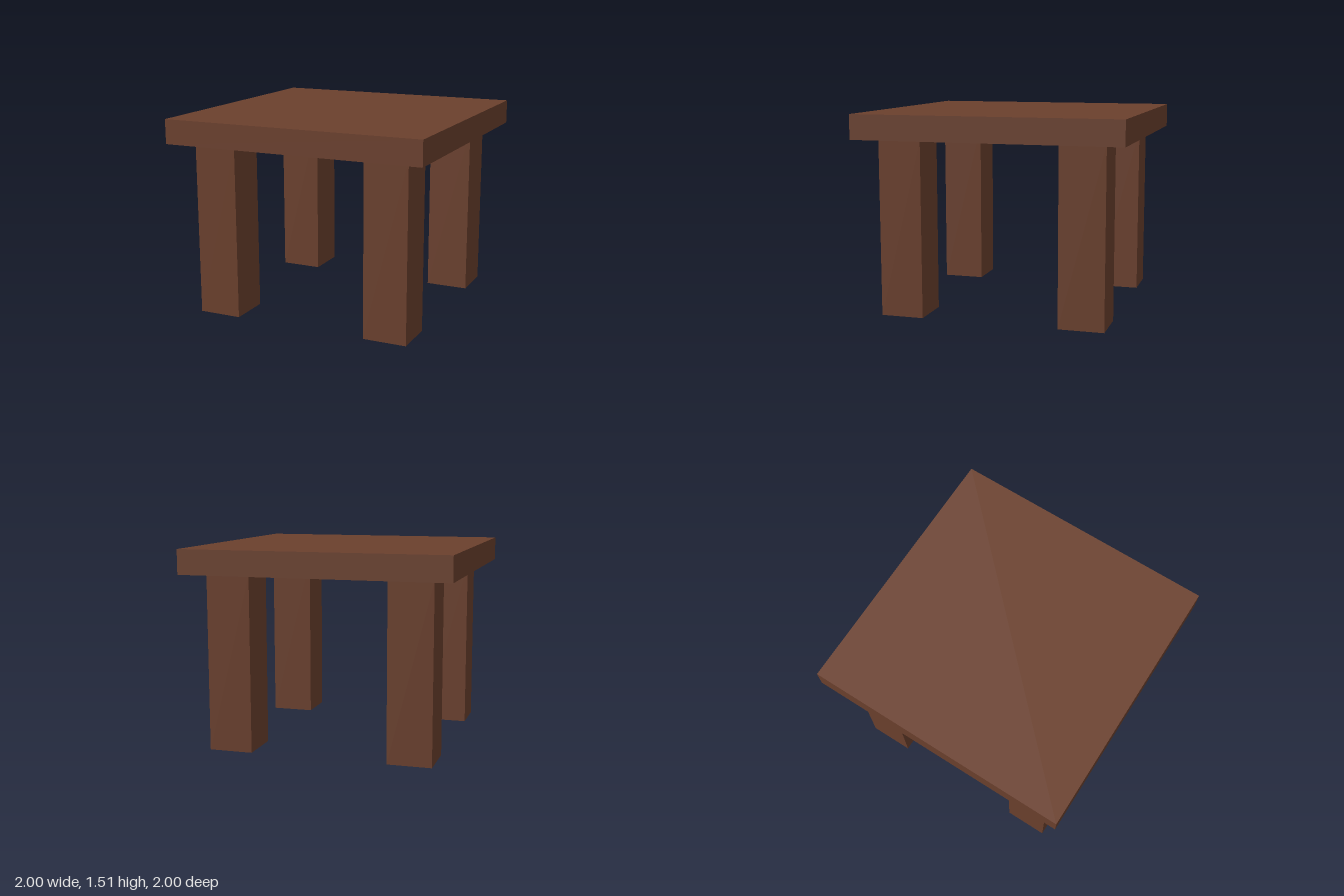
import * as THREE from 'three';

export function createModel() {
  const group = new THREE.Group();
  const wood = new THREE.MeshStandardMaterial({ color: 0x6b402d, flatShading: true });
  const height = 1.51, legHeight = 1.325;

  // Box given by its lower and upper corners
  const addBox = (name, [x0, y0, z0], [x1, y1, z1]) => {
    const mesh = new THREE.Mesh(new THREE.BoxGeometry(x1 - x0, y1 - y0, z1 - z0), wood);
    mesh.position.set((x0 + x1) / 2, (y0 + y1) / 2, (z0 + z1) / 2);
    mesh.name = name;
    group.add(mesh);
  };

  // Square slab top
  addBox('tableTop', [-1, legHeight, -1], [1, height, 1]);

  // Four thick legs, set in from the edges; the back pair is slightly deeper
  const sides = [['Left', 0.515, 0.845], ['Right', -0.845, -0.515]];
  const rows = [['front', 0.523, 0.847], ['back', -0.845, -0.507]];
  for (const [side, x0, x1] of sides) {
    for (const [row, z0, z1] of rows) {
      addBox(`${row}${side}Leg`, [x0, 0, z0], [x1, legHeight, z1]);
    }
  }
  return group;
}
